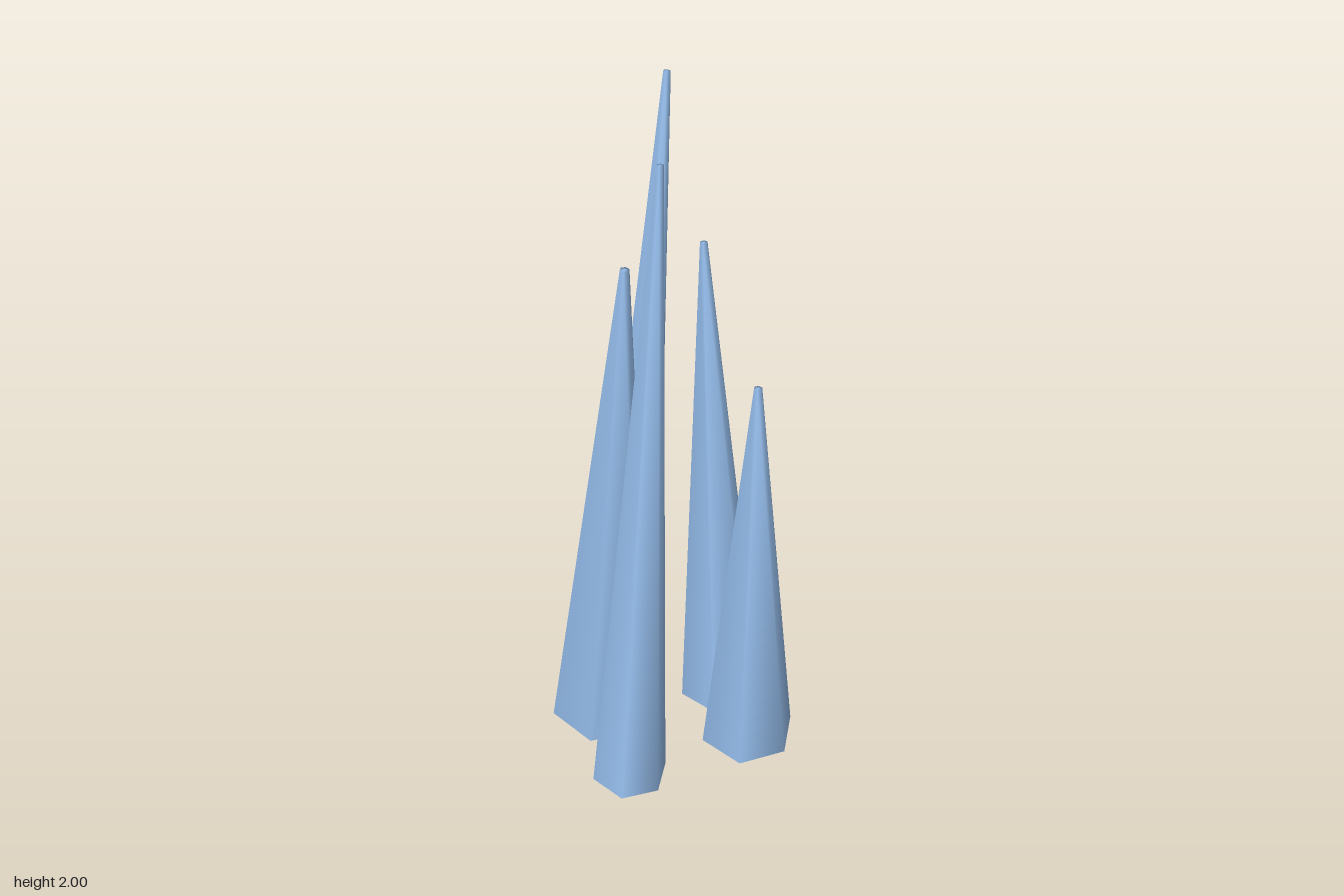
import * as THREE from 'three';

const BASE_Y = 0.013;
const UP = new THREE.Vector3(0, 1, 0);

// Each spike: name, base centre [x, z], base radius, tip [x, y, z]
const SPIKES = [
  ['backCrystal', [-0.085, -0.195], 0.153, [-0.085, 1.58, -0.065]],
  ['tallCrystal', [-0.1, -0.106], 0.116, [0.117, 2.0, -0.107]],
  ['rightCrystal', [-0.231, 0.05], 0.11, [-0.087, 1.89, 0.05]],
  ['leftCrystal', [0.215, 0.027], 0.127, [0.215, 1.525, -0.07]],
  ['frontCrystal', [0.122, 0.204], 0.141, [0.122, 1.245, 0.19]],
];

// Six-sided tapered spike with a tiny blunt tip, leaning from its base to its tip
function makeSpike([name, [x, z], radius, tip], material) {
  const base = new THREE.Vector3(x, BASE_Y, z);
  const axis = new THREE.Vector3(...tip).sub(base);
  const height = axis.length();
  const profile = [[0, 0], [radius, 0], [radius * 0.08, height], [0, height]]
    .map(([r, y]) => new THREE.Vector2(r, y));
  // The lathe blends normals over the rims, giving the soft shading along the height
  const spike = new THREE.Mesh(new THREE.LatheGeometry(profile, 6), material);
  spike.name = name;
  spike.position.copy(base);
  spike.quaternion.setFromUnitVectors(UP, axis.normalize());
  return spike;
}

export function createModel() {
  const group = new THREE.Group();
  group.name = 'crystalCluster';
  const material = new THREE.MeshStandardMaterial({ color: 0x99c2f2 });
  for (const spec of SPIKES) group.add(makeSpike(spec, material));
  return group;
}
